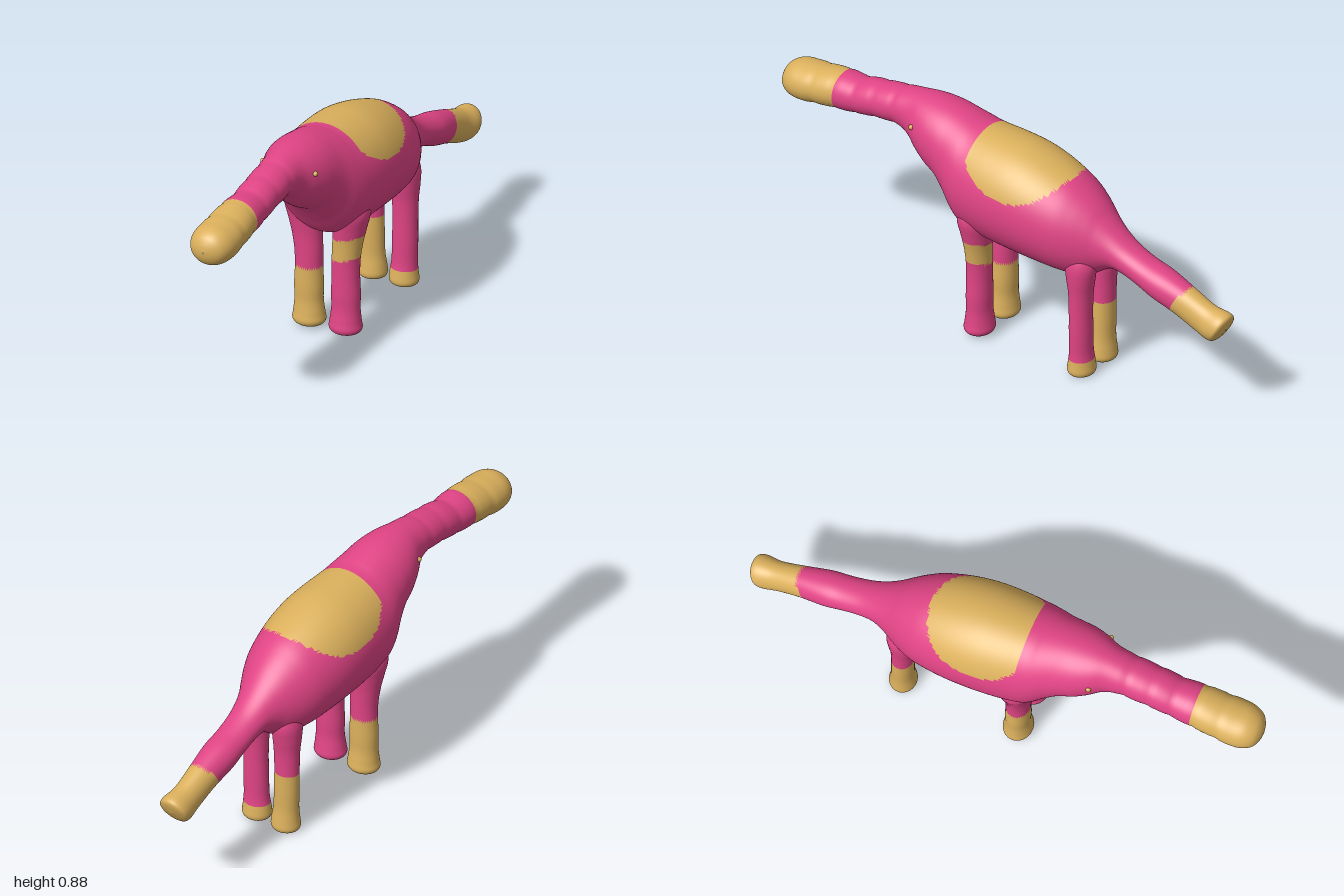
import * as THREE from 'three';

const pink = new THREE.MeshStandardMaterial({ color: 0xe04485 });
pink.name = 'pink';
const gold = new THREE.MeshStandardMaterial({ color: 0xdbb05c });
gold.name = 'gold';

// Closed skin over rings of points; isGold(x, y, z) picks the colour of each face
function skin(name, rings, isGold) {
  const n = rings[0].length;
  const pos = new Float32Array(rings.flat().flatMap((p) => [p.x, p.y, p.z]));
  const faces = [[], []];
  const add = (a, b, c) => {
    const mid = [0, 1, 2].map((k) => (pos[a * 3 + k] + pos[b * 3 + k] + pos[c * 3 + k]) / 3);
    faces[isGold(...mid) ? 1 : 0].push(a, b, c);
  };
  for (let i = 0; i < rings.length - 1; i++) {
    for (let j = 0; j < n; j++) {
      const a = i * n + j, b = i * n + (j + 1) % n;
      add(a, a + n, b);
      add(b, a + n, b + n);
    }
  }
  const geo = new THREE.BufferGeometry();
  geo.setAttribute('position', new THREE.BufferAttribute(pos, 3));
  geo.setIndex([...faces[0], ...faces[1]]);
  geo.addGroup(0, faces[0].length, 0);
  geo.addGroup(faces[0].length, faces[1].length, 1);
  geo.computeVertexNormals();
  const mesh = new THREE.Mesh(geo, [pink, gold]);
  mesh.name = name;
  return mesh;
}

// Smooth curve through rows of three numbers
const smooth = (rows) =>
  new THREE.CatmullRomCurve3(rows.map((r) => new THREE.Vector3(...r)), false, 'catmullrom', 0.5);

// z, top, bottom, half width: trunk tip to tail tip
const bodyRows = [
  [1.0, 0.727, 0.723, 0.002], [0.993, 0.755, 0.694, 0.034], [0.975, 0.782, 0.669, 0.064],
  [0.94, 0.8, 0.655, 0.083], [0.89, 0.806, 0.655, 0.089], [0.82, 0.815, 0.665, 0.086],
  [0.74, 0.826, 0.676, 0.082], [0.67, 0.825, 0.685, 0.077], [0.6, 0.84, 0.698, 0.077],
  [0.52, 0.853, 0.71, 0.078], [0.45, 0.866, 0.708, 0.08], [0.4, 0.874, 0.68, 0.09],
  [0.35, 0.879, 0.635, 0.114], [0.3, 0.879, 0.598, 0.132], [0.25, 0.875, 0.567, 0.142],
  [0.2, 0.866, 0.505, 0.155], [0.15, 0.854, 0.44, 0.174], [0.1, 0.842, 0.415, 0.186],
  [0, 0.837, 0.405, 0.196], [-0.1, 0.828, 0.4, 0.198], [-0.2, 0.803, 0.395, 0.19],
  [-0.3, 0.765, 0.39, 0.17], [-0.36, 0.73, 0.395, 0.147], [-0.41, 0.693, 0.41, 0.12],
  [-0.45, 0.656, 0.438, 0.097], [-0.5, 0.615, 0.463, 0.077], [-0.56, 0.575, 0.457, 0.068],
  [-0.63, 0.545, 0.435, 0.066], [-0.7, 0.525, 0.408, 0.067], [-0.8, 0.487, 0.375, 0.057],
  [-0.89, 0.451, 0.337, 0.053], [-0.95, 0.441, 0.32, 0.06], [-0.975, 0.425, 0.328, 0.052],
  [-0.985, 0.385, 0.37, 0.008], [-0.986, 0.378, 0.376, 0.001],
];

function makeBody() {
  const side = smooth(bodyRows.map(([z, t, b]) => [z, t, b]));
  const wide = smooth(bodyRows.map(([z, , , w]) => [z, w, 0]));
  const steps = (bodyRows.length - 1) * 6, n = 120, rings = [];
  for (let i = 0; i <= steps; i++) {
    const s = side.getPoint(i / steps), z = s.x;
    // Wrinkles along the trunk
    const ringed = z > 0.45 && z < 0.88;
    const k = ringed ? 1 - 0.05 * (1 - Math.abs(Math.sin(Math.PI * (z - 0.48) / 0.09))) ** 2 : 1;
    const h = Math.max(0.0005, (s.y - s.z) / 2) * k;
    const w = Math.max(0.0005, wide.getPoint(i / steps).y) * k;
    // Sections lean to follow the sloping tail
    const lean = 0.5 * THREE.MathUtils.smoothstep(-z, 0.5, 0.8);
    rings.push(Array.from({ length: n }, (_, j) => {
      const a = (j / n) * Math.PI * 2, dy = h * Math.sin(a);
      return new THREE.Vector3(w * Math.cos(a), (s.y + s.z) / 2 + dy, z - lean * dy);
    }));
  }
  // Gold trunk end, tail end and saddle patch
  return skin('body', rings, (x, y, z) => {
    const u = Math.abs(z + 0.105) / 0.195;
    return z > 0.74 || z + 0.6 * (y - 0.435) < -0.785 || (u < 1 && y > 0.68 + 0.09 * u ** 2.5);
  });
}

// Leg rows: y, centre x, half width, half depth
const frontRows = [
  [0.012, 0.075, 0.001, 0.001], [0.013, 0.075, 0.045, 0.04], [0.03, 0.075, 0.063, 0.055],
  [0.06, 0.075, 0.06, 0.052], [0.11, 0.076, 0.055, 0.046], [0.17, 0.076, 0.056, 0.047],
  [0.24, 0.076, 0.053, 0.046], [0.31, 0.077, 0.054, 0.047], [0.38, 0.084, 0.058, 0.05],
  [0.44, 0.092, 0.064, 0.058], [0.51, 0.1, 0.07, 0.068], [0.57, 0.1, 0.05, 0.05],
];
const rearRows = [
  [0.002, 0.065, 0.001, 0.001], [0.003, 0.065, 0.042, 0.038], [0.018, 0.065, 0.056, 0.051],
  [0.05, 0.065, 0.054, 0.048], [0.1, 0.067, 0.049, 0.042], [0.18, 0.069, 0.049, 0.042],
  [0.27, 0.07, 0.048, 0.042], [0.35, 0.07, 0.05, 0.045], [0.41, 0.071, 0.054, 0.054],
  [0.47, 0.07, 0.055, 0.06], [0.53, 0.06, 0.045, 0.045],
];

function makeLeg(name, rows, sideSign, cz, isGold) {
  const a3 = smooth(rows.map(([y, x, rx]) => [y, x, rx]));
  const b3 = smooth(rows.map(([y, , , rz]) => [y, rz, 0]));
  const steps = (rows.length - 1) * 5, n = 40, rings = [];
  for (let i = 0; i <= steps; i++) {
    const p = a3.getPoint(i / steps), rz = Math.max(0.0005, b3.getPoint(i / steps).y);
    rings.push(Array.from({ length: n }, (_, j) => {
      const a = (j / n) * Math.PI * 2;
      return new THREE.Vector3(
        sideSign * p.y + Math.max(0.0005, p.z) * Math.cos(a), p.x, cz + rz * Math.sin(a));
    }));
  }
  return skin(name, rings, isGold);
}

export function createModel() {
  const model = new THREE.Group();
  model.name = 'elephant';
  model.add(makeBody());

  // Legs, each with its own gold marking
  const band = (x, y) => {
    const h = y - 0.25 * (x - 0.08);
    return h > 0.313 && h < 0.4;
  };
  model.add(
    makeLeg('frontLeftLeg', frontRows, 1, 0.072, band),
    makeLeg('frontRightLeg', frontRows, -1, 0.072, (x, y) => y < 0.245),
    makeLeg('rearLeftLeg', rearRows, 1, -0.382, (x, y) => y < 0.07),
    makeLeg('rearRightLeg', rearRows, -1, -0.382, (x, y) => y < 0.25),
  );

  // Eyes
  for (const s of [-1, 1]) {
    const eye = new THREE.Mesh(new THREE.SphereGeometry(0.01, 16, 12), gold);
    eye.name = s > 0 ? 'leftEye' : 'rightEye';
    eye.position.set(s * 0.108, 0.785, 0.358);
    model.add(eye);
  }
  return model;
}
